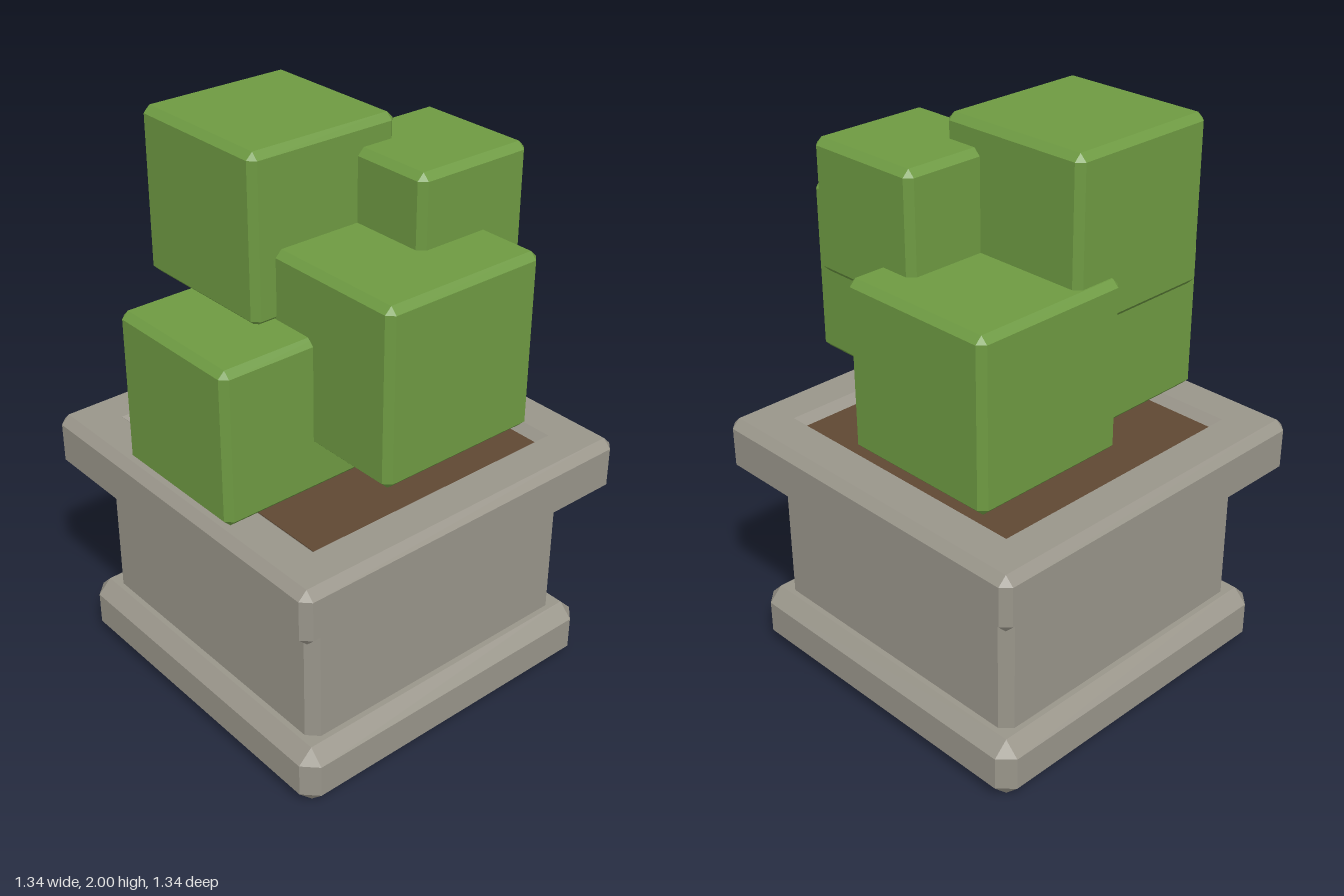
import * as THREE from 'three';

// Horizontal square of half-width h with its four corners cut by c, at height y
function ring([h, c, y]) {
  const k = h - c;
  return [[h, -k], [h, k], [k, h], [-k, h], [-h, k], [-h, -k], [-k, -h], [k, -h]]
    .map(([x, z]) => new THREE.Vector3(x, y, z));
}

// Flat-faced skin through a list of rings, closed at both ends
function loft(sections) {
  const rings = sections.map(ring);
  const points = [];
  const tri = (a, b, c) => {
    const area = b.clone().sub(a).cross(c.clone().sub(a)).length();
    if (area > 1e-8) points.push(a, b, c);
  };
  for (let i = 0; i < rings.length - 1; i++) {
    const lo = rings[i], hi = rings[i + 1];
    for (let j = 0; j < 8; j++) {
      const n = (j + 1) % 8;
      tri(lo[j], hi[j], lo[n]);
      tri(lo[n], hi[j], hi[n]);
    }
  }
  const bottom = rings[0], top = rings[rings.length - 1];
  for (let j = 1; j < 7; j++) {
    tri(bottom[0], bottom[j], bottom[j + 1]);
    tri(top[0], top[j + 1], top[j]);
  }
  const geometry = new THREE.BufferGeometry().setFromPoints(points);
  geometry.computeVertexNormals();
  return geometry;
}

// Sections of a square block with every edge chamfered by c
const block = (h, c, y0, y1) => [[h - c, 0, y0], [h, c, y0 + c], [h, c, y1 - c], [h - c, 0, y1]];

export function createModel() {
  const model = new THREE.Group();
  model.name = 'pottedShrub';

  const material = (name, color) => {
    const m = new THREE.MeshStandardMaterial({ color });
    m.name = name;
    return m;
  };
  const stone = material('stone', 0x99958a);
  const soil = material('soil', 0x5f4833);
  const leaves = material('leaves', 0x6e9a42);

  const add = (name, geometry, mat, parent = model) => {
    const mesh = new THREE.Mesh(geometry, mat);
    mesh.name = name;
    parent.add(mesh);
    return mesh;
  };

  // Planter: plinth, body and hollow rim
  const planter = new THREE.Group();
  planter.name = 'planter';
  model.add(planter);
  add('plinth', loft(block(0.625, 0.05, 0, 0.22)), stone, planter);
  add('body', loft([[0.555, 0.037, 0.2], [0.555, 0.037, 0.73]]), stone, planter);
  add('rim', loft([...block(0.67, 0.03, 0.71, 0.91), [0.51, 0, 0.91], [0.48, 0, 0.878]]), stone, planter);

  // Soil surface inside the rim
  const soilPlate = add('soil', new THREE.BoxGeometry(0.96, 0.008, 0.96), soil);
  soilPlate.position.y = 0.877;

  // Foliage cubes: name, size, centre x, bottom y, centre z
  const foliage = new THREE.Group();
  foliage.name = 'foliage';
  model.add(foliage);
  const cubes = [
    ['leafCubeTop', 0.562, -0.104, 1.44, -0.187],
    ['leafCubeUpperFront', 0.442, 0.24, 1.48, 0.16],
    ['leafCubeFront', 0.604, -0.001, 1.077, 0.303],
    ['leafCubeRight', 0.584, 0.3, 1.005, -0.204],
    ['leafCubeLeft', 0.54, -0.368, 0.912, -0.003],
  ];
  for (const [name, size, x, y, z] of cubes) {
    add(name, loft(block(size / 2, 0.023, 0, size)), leaves, foliage).position.set(x, y, z);
  }
  return model;
}
